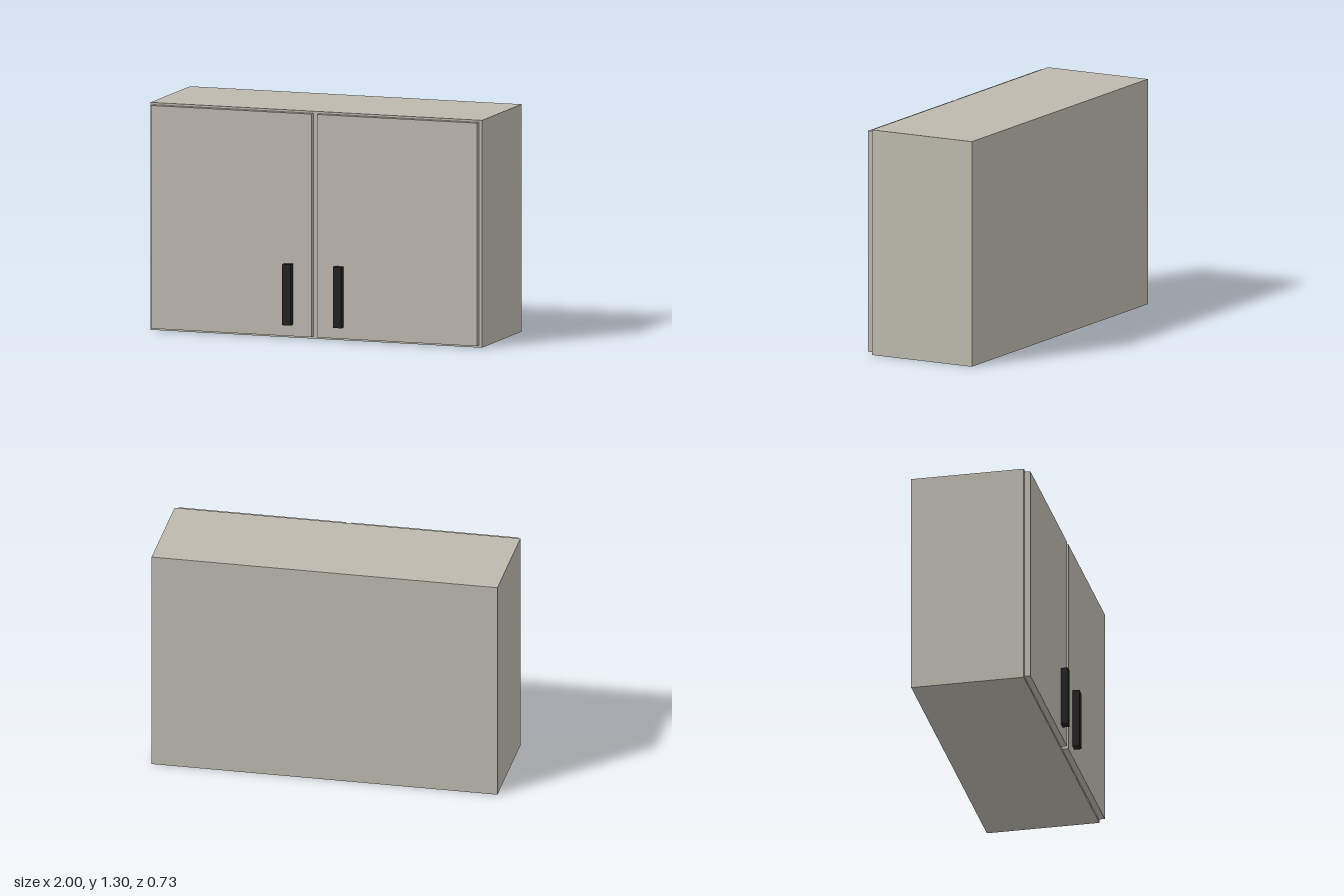
import * as THREE from 'three';

export function createModel() {
  const group = new THREE.Group();
  const paint = new THREE.MeshStandardMaterial({ color: 0xbdb9ae });
  paint.name = 'warm grey paint';
  const black = new THREE.MeshStandardMaterial({ color: 0x222222 });
  black.name = 'black handle';

  // Box given by its lower and upper limits on each axis
  function box(name, material, [x0, x1], [y0, y1], [z0, z1]) {
    const mesh = new THREE.Mesh(new THREE.BoxGeometry(x1 - x0, y1 - y0, z1 - z0), material);
    mesh.position.set((x0 + x1) / 2, (y0 + y1) / 2, (z0 + z1) / 2);
    mesh.name = name;
    group.add(mesh);
  }

  // Cabinet body
  box('cabinetBody', paint, [-1, 1], [0, 1.303], [-0.364, 0.289]);

  // Mirrored pair of doors, each with a bar handle near the centre gap
  for (const [side, s] of [['left', 1], ['right', -1]]) {
    const span = (a, b) => (s > 0 ? [a, b] : [-b, -a]);
    box(side + 'Door', paint, span(0.017, 0.983), [0.013, 1.291], [0.289, 0.324]);
    box(side + 'Handle', black, span(0.128, 0.178), [0.079, 0.428], [0.324, 0.364]);
  }
  return group;
}
